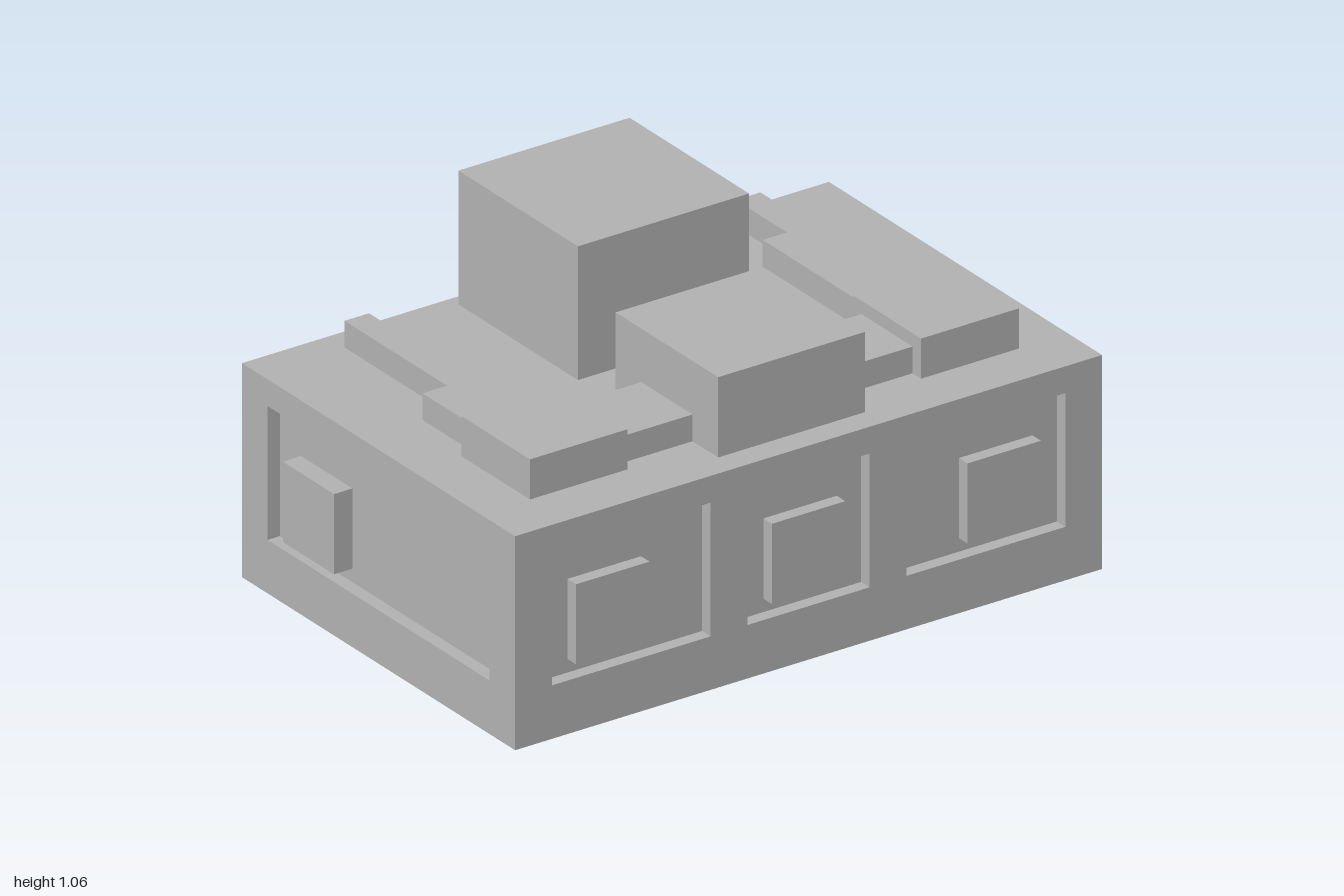
import * as THREE from 'three';

// One grid step: the whole model is 49 steps wide.
const U = 2 / 49;

export function createModel() {
  const model = new THREE.Group();
  const grey = new THREE.MeshStandardMaterial({ color: 0xb0b0b0 });
  grey.name = 'grey';

  const add = (name, geometry, parent = model) => {
    const mesh = new THREE.Mesh(geometry, grey);
    mesh.name = name;
    parent.add(mesh);
    return mesh;
  };

  // Box given by its limits in grid steps.
  const box = (name, x0, x1, y0, y1, z0, z1) => {
    const g = new THREE.BoxGeometry((x1 - x0) * U, (y1 - y0) * U, (z1 - z0) * U);
    g.translate((x0 + x1) / 2 * U, (y0 + y1) / 2 * U, (z0 + z1) / 2 * U);
    return add(name, g);
  };

  // Wall one step thick with rectangular openings, facing outward after a turn.
  const wall = (name, halfWidth, openings, inner, angle) => {
    const rect = (path, x0, x1, y0, y1) => {
      path.moveTo(x0 * U, y0 * U);
      path.lineTo(x1 * U, y0 * U);
      path.lineTo(x1 * U, y1 * U);
      path.lineTo(x0 * U, y1 * U);
      path.closePath();
      return path;
    };
    const shape = rect(new THREE.Shape(), -halfWidth, halfWidth, 0, 16);
    for (const [a, b] of openings) shape.holes.push(rect(new THREE.Path(), a, b, 4, 14));
    const g = new THREE.ExtrudeGeometry(shape, { depth: U, bevelEnabled: false });
    g.translate(0, 0, inner * U);
    g.rotateY(angle);
    add(name, g);
  };

  // Body: a core wrapped in walls with recessed panels
  box('bodyCore', -23, 23, 0, 16, -15, 15);
  const threePanels = [[-21, -8], [-5, 5], [8, 21]];
  wall('frontWall', 24, threePanels, 15, 0);
  wall('backWall', 24, threePanels, 15, Math.PI);
  wall('leftWall', 15, [[-13, 13]], 23, Math.PI / 2);
  wall('rightWall', 15, [[-13, 13]], 23, -Math.PI / 2);

  // Raised squares inside the front panels, flush with the wall
  for (const x of [-16, 0, 16]) box('frontKnob', x - 3, x + 3, 5, 11, 15, 16);

  // Blocks along the middle of the top
  box('rearTower', -7, 7, 16, 26, -15, -1);
  box('towerLink', -3, 3, 16, 20, -1, 2);
  box('frontBlock', -6, 6, 16, 22, 2, 14);

  // Mirrored parts on both sides
  for (const s of [-1, 1]) {
    const side = s > 0 ? 'left' : 'right';
    const pair = (name, a, b, ...rest) =>
      box(side + name, Math.min(s * a, s * b), Math.max(s * a, s * b), ...rest);
    pair('SideKnob', 23, 24.5, 5, 11, -10.5, -4.5);
    pair('Connector', 6, 12, 16, 18, 5, 11);
    pair('Pad', 12, 20, 16, 19, 4, 12);

    // Stepped rail running backward, narrowing in three stages
    const outline = [[13, 4], [19, 4], [19, -2], [17, -2], [17, -14], [15, -14], [15, -8], [13, -8]];
    const shape = new THREE.Shape(outline.map(([x, z]) => new THREE.Vector2(s * x * U, -z * U)));
    const rail = new THREE.ExtrudeGeometry(shape, { depth: 2 * U, bevelEnabled: false });
    rail.rotateX(-Math.PI / 2);
    rail.translate(0, 16 * U, 0);
    add(side + 'Rail', rail);
  }
  return model;
}
